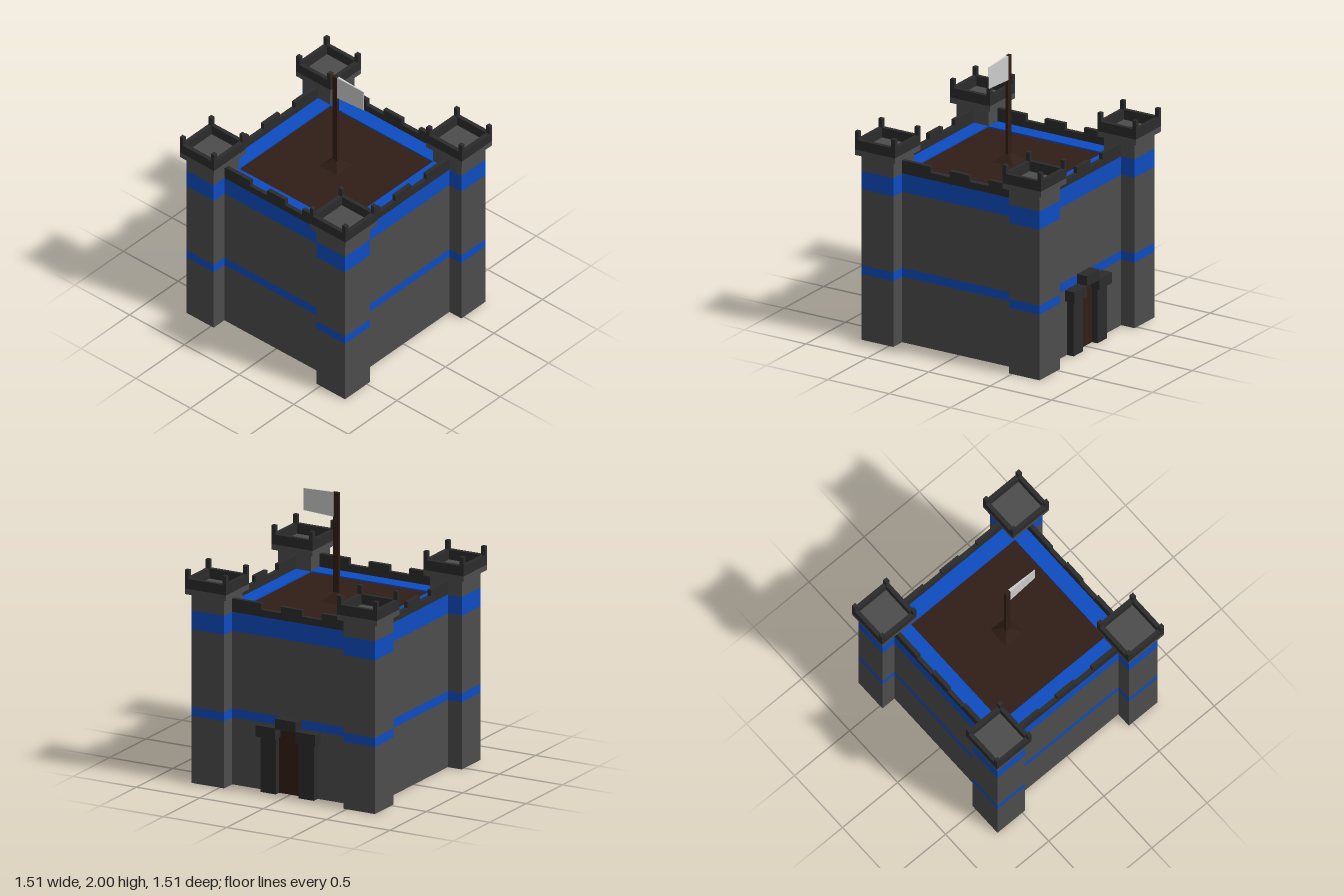
import * as THREE from 'three';

const mat = (color) => new THREE.MeshStandardMaterial({ color, flatShading: true });

export function createModel() {
  const root = new THREE.Group();
  root.name = 'castle';
  const stone = mat(0x4c4c4c), dark = mat(0x2b2b2b), blue = mat(0x0e4cc0);
  const wood = mat(0x301d16), cloth = mat(0xcccccc);

  // Box given by its lower and upper corners
  const box = (parent, name, material, x0, x1, y0, y1, z0, z1) => {
    const mesh = new THREE.Mesh(new THREE.BoxGeometry(x1 - x0, y1 - y0, z1 - z0), material);
    mesh.position.set((x0 + x1) / 2, (y0 + y1) / 2, (z0 + z1) / 2);
    mesh.name = name;
    parent.add(mesh);
    return mesh;
  };
  const group = (name) => {
    const g = new THREE.Group();
    g.name = name;
    root.add(g);
    return g;
  };

  // Stone courses with two flush blue bands
  const courses = (parent, x0, x1, z0, z1, top) => {
    const levels = [0, 0.48, 0.545, 1.1, 1.235, top];
    for (let i = 0; i < levels.length - 1; i++) {
      if (levels[i + 1] <= levels[i]) continue;
      const band = i % 2 === 1;
      box(parent, band ? 'blueBand' : 'stoneCourse', band ? blue : stone,
        x0, x1, levels[i], levels[i + 1], z0, z1);
    }
  };

  // Corner towers with a ledge, rim and corner posts
  const spans = [
    { body: [-0.725, -0.475], cap: [-0.757, -0.443] },
    { body: [0.465, 0.725], cap: [0.432, 0.757] },
  ];
  const t = 0.03;
  for (const sx of spans) for (const sz of spans) {
    const g = group('cornerTower');
    courses(g, ...sx.body, ...sz.body, 1.36);
    const [x0, x1] = sx.cap, [z0, z1] = sz.cap;
    box(g, 'towerLedge', stone, x0, x1, 1.355, 1.395, z0, z1);
    for (const z of [z0, z1 - t]) box(g, 'towerRim', dark, x0, x1, 1.395, 1.467, z, z + t);
    for (const x of [x0, x1 - t]) {
      box(g, 'towerRim', dark, x, x + t, 1.395, 1.467, z0 + t, z1 - t);
      for (const z of [z0, z1 - t]) box(g, 'cornerPost', dark, x, x + t, 1.467, 1.53, z, z + t);
    }
  }

  // Curtain walls with battlements on the outer edge
  for (const side of [-1, 1]) {
    const range = (a, b) => (side > 0 ? [a, b] : [-b, -a]);
    const wall = range(0.47, 0.615), edge = range(0.585, 0.615);
    const merlons = [[-0.475, -0.24], [-0.085, 0.08], [0.235, 0.465]];
    const alongX = group(side > 0 ? 'frontWall' : 'backWall');
    const alongZ = group(side > 0 ? 'leftWall' : 'rightWall');
    courses(alongX, -0.475, 0.465, ...wall, 1.235);
    courses(alongZ, ...wall, -0.475, 0.465, 1.235);
    box(alongX, 'parapet', dark, -0.475, 0.465, 1.235, 1.285, ...edge);
    box(alongZ, 'parapet', dark, ...edge, 1.235, 1.285, -0.475, 0.465);
    for (const [a, b] of merlons) {
      box(alongX, 'merlon', dark, a, b, 1.285, 1.33, ...edge);
      box(alongZ, 'merlon', dark, ...edge, 1.285, 1.33, a, b);
    }
  }

  // Wooden courtyard deck
  box(root, 'courtyard', wood, -0.47, 0.47, 0, 1.225, -0.47, 0.47);

  // Gate in the back wall
  const gate = group('gate');
  box(gate, 'door', wood, -0.09, 0.09, 0, 0.48, -0.625, -0.6);
  for (const s of [-1, 1]) {
    const mid = s * 0.15;
    box(gate, 'doorJamb', dark, mid - 0.06, mid + 0.06, 0, 0.4, -0.67, -0.6);
    box(gate, 'sideLintel', dark, s * 0.1575 - 0.0775, s * 0.1575 + 0.0775, 0.4, 0.48, -0.695, -0.6);
  }
  box(gate, 'topLintel', dark, -0.08, 0.08, 0.475, 0.55, -0.695, -0.6);

  // Flagpole on a four-sided tapered foot
  const flagpole = group('flagpole');
  const footShape = new THREE.CylinderGeometry(0.02, 0.11, 0.06, 4);
  footShape.rotateY(Math.PI / 4);
  const foot = new THREE.Mesh(footShape, wood);
  foot.name = 'poleFoot';
  foot.position.set(-0.005, 1.255, -0.007);
  flagpole.add(foot);
  box(flagpole, 'pole', wood, -0.025, 0.016, 1.225, 2, -0.012, 0.01);

  // Flag narrowing to a thin outer edge
  const flag = box(flagpole, 'flag', cloth, 0.014, 0.25, 1.825, 2, -0.014, 0.006);
  const p = flag.geometry.attributes.position;
  for (let i = 0; i < p.count; i++) {
    if (p.getX(i) > 0) p.setXYZ(i, p.getX(i), p.getY(i) * 0.9, p.getZ(i) * 0.2 - 0.002);
  }
  flag.geometry.computeVertexNormals();
  return root;
}
